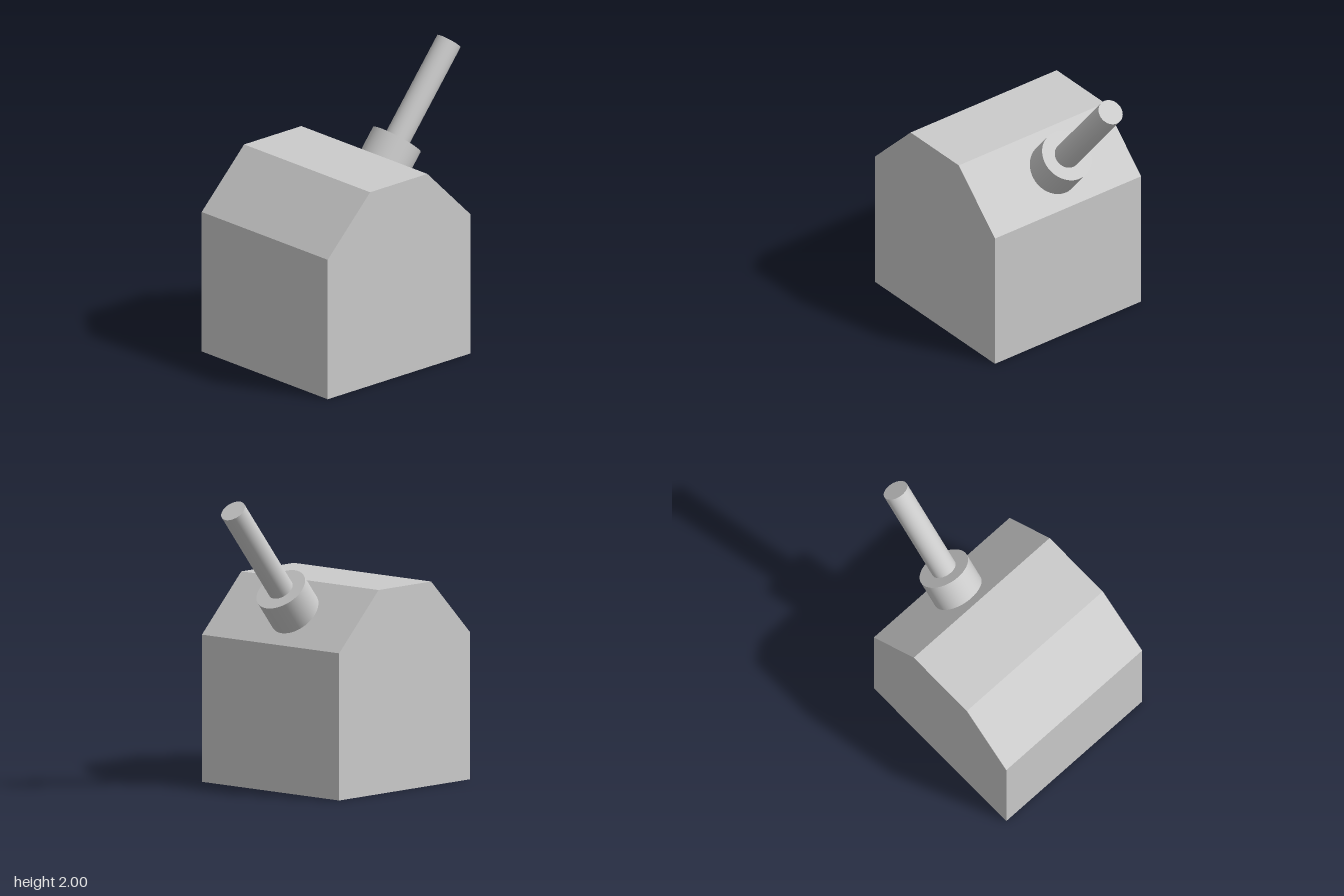
import * as THREE from 'three';

export function createModel() {
  const model = new THREE.Group();
  const material = new THREE.MeshStandardMaterial({ color: 0xcccccc });

  // Block with chamfered shoulders, extruded front to back
  const profile = new THREE.Shape([
    [-0.89, 0], [0.405, 0], [0.405, 0.995], [0.015, 1.38], [-0.505, 1.38], [-0.89, 0.995],
  ].map(([x, y]) => new THREE.Vector2(x, y)));
  const bodyGeometry = new THREE.ExtrudeGeometry(profile, { depth: 1.245, bevelEnabled: false });
  bodyGeometry.translate(0, 0, -0.625);
  const body = new THREE.Mesh(bodyGeometry, material);
  body.name = 'body';
  model.add(body);

  // Tilted handle: its origin is the centre of the collar's outer face
  const handle = new THREE.Group();
  handle.name = 'handle';
  handle.position.set(0.345, 1.362, -0.04);
  handle.rotation.z = -Math.atan2(0.63, 0.777);
  model.add(handle);

  const addCylinder = (name, radius, from, to) => {
    const geometry = new THREE.CylinderGeometry(radius, radius, to - from, 48);
    geometry.translate(0, (from + to) / 2, 0);
    const mesh = new THREE.Mesh(geometry, material);
    mesh.name = name;
    handle.add(mesh);
  };
  addCylinder('collar', 0.18, -0.25, 0); // sunk slightly into the sloped face
  addCylinder('rod', 0.088, -0.02, 0.75);

  return model;
}
